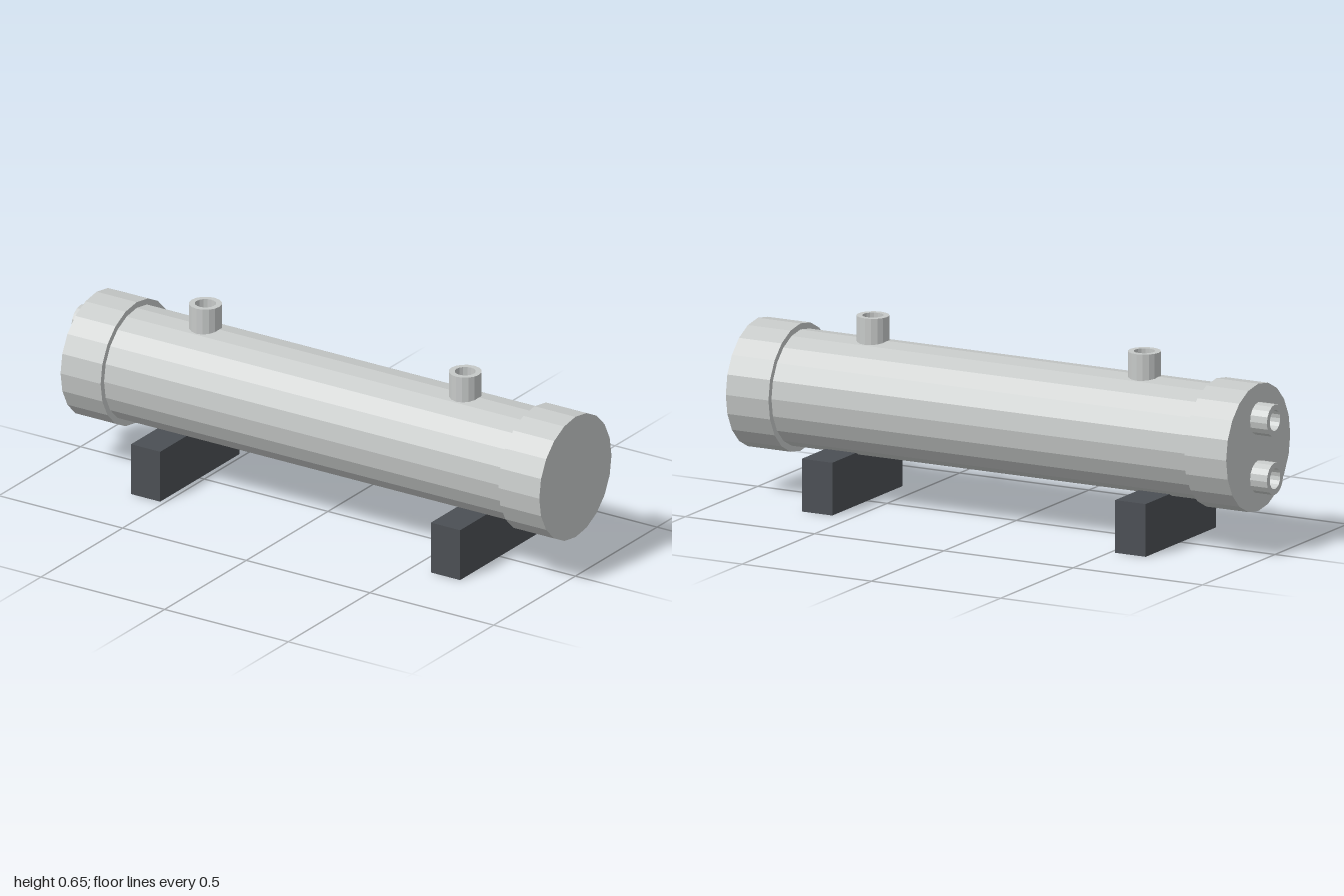
import * as THREE from 'three';

export function createModel() {
  const model = new THREE.Group();
  const steel = new THREE.MeshStandardMaterial({ color: 0xc6c9c8, flatShading: true });
  steel.name = 'lightSteel';
  const darkGrey = new THREE.MeshStandardMaterial({ color: 0x4b4f54, flatShading: true });
  darkGrey.name = 'darkGrey';

  const axisY = 0.364;

  const add = (name, geometry, material, x, y, z = 0) => {
    const mesh = new THREE.Mesh(geometry, material);
    mesh.name = name;
    mesh.position.set(x, y, z);
    model.add(mesh);
    return mesh;
  };

  // Horizontal drum between two x positions
  const drum = (name, radius, x0, x1) => {
    const geometry = new THREE.CylinderGeometry(radius, radius, x1 - x0, 20).rotateZ(Math.PI / 2);
    add(name, geometry, steel, (x0 + x1) / 2, axisY);
  };
  drum('shell', 0.2, -0.8, 0.86);
  drum('rightEndCap', 0.221, -0.935, -0.773);
  drum('leftEndCap', 0.221, 0.835, 1);

  // Hollow pipe stub, standing along +y from its base
  const pipe = (length) => new THREE.LatheGeometry([
    [0.056, 0], [0.056, length], [0.036, length], [0.036, 0],
  ].map(([r, y]) => new THREE.Vector2(r, y)), 16);

  // Nozzles on top of the shell
  for (const x of [-0.495, 0.555]) add('topNozzle', pipe(0.105), steel, x, 0.542);

  // Ports on the right end cap
  for (const dy of [-0.101, 0.101]) {
    add('endPort', pipe(0.075).rotateZ(Math.PI / 2), steel, -0.925, axisY + dy);
  }

  // Support blocks under the shell
  for (const x of [-0.577, 0.635]) {
    add('supportBlock', new THREE.BoxGeometry(0.118, 0.183, 0.485), darkGrey, x, 0.0915);
  }

  return model;
}
